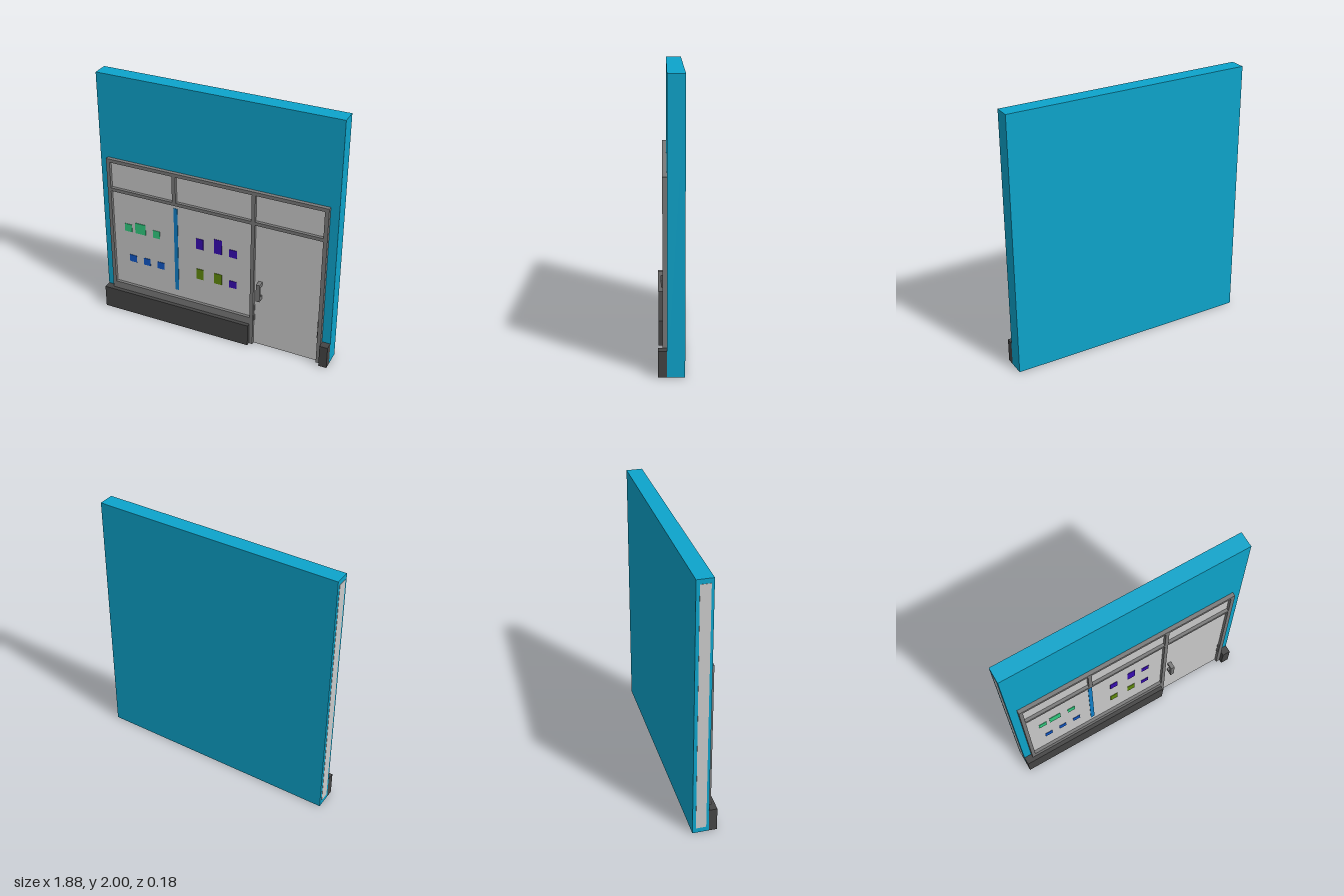
import * as THREE from 'three';

const mat = (name, color) => {
  const m = new THREE.MeshStandardMaterial({ color });
  m.name = name;
  return m;
};

export function createModel() {
  const group = new THREE.Group();
  const wallBlue = mat('wall blue', 0x0da4cb);
  const plinthGrey = mat('plinth dark grey', 0x444444);
  const frameGrey = mat('frame grey', 0x7a7a7a);
  const glassGrey = mat('glass light grey', 0xcacaca);
  const green = mat('display green', 0x32cb80);
  const blue = mat('display blue', 0x1058c8);
  const purple = mat('display purple', 0x380cb2);
  const olive = mat('display olive', 0x608a0c);
  const stripeBlue = mat('stripe blue', 0x1080c8);

  // Box given by its limits on each axis
  const box = (name, material, x0, x1, y0, y1, z0, z1, parent = group) => {
    const mesh = new THREE.Mesh(new THREE.BoxGeometry(x1 - x0, y1 - y0, z1 - z0), material);
    mesh.position.set((x0 + x1) / 2, (y0 + y1) / 2, (z0 + z1) / 2);
    mesh.name = name;
    parent.add(mesh);
    return mesh;
  };

  // Wall slab and the pale panel on its right end
  box('wall', wallBlue, -0.94, 0.94, 0, 2, -0.09, 0.03);
  box('endPanel', glassGrey, -0.942, -0.938, 0.04, 1.965, -0.065, 0.01);

  // Plinth blocks either side of the door
  box('plinth', plinthGrey, -0.94, 0.3, 0, 0.182, 0.03, 0.09);
  box('plinthEnd', plinthGrey, 0.877, 0.94, 0, 0.182, 0.03, 0.09);

  // Shopfront frame, open at the foot of the door
  const frameShape = new THREE.Shape([
    [-0.88, 0.182], [0.3, 0.182], [0.3, 0], [0.328, 0], [0.328, 1.063], [0.845, 1.063],
    [0.845, 0], [0.875, 0], [0.875, 1.333], [-0.88, 1.333],
  ].map(([x, y]) => new THREE.Vector2(x, y)));
  for (const [x0, x1, y0, y1] of [
    [-0.852, -0.335, 1.09, 1.305],
    [-0.306, 0.3, 1.09, 1.305],
    [0.328, 0.845, 1.09, 1.305],
    [-0.852, 0.3, 0.242, 1.063],
  ]) {
    frameShape.holes.push(new THREE.Path([
      new THREE.Vector2(x0, y0), new THREE.Vector2(x0, y1),
      new THREE.Vector2(x1, y1), new THREE.Vector2(x1, y0),
    ]));
  }
  const frame = new THREE.Mesh(
    new THREE.ExtrudeGeometry(frameShape, { depth: 0.03, bevelEnabled: false }), frameGrey);
  frame.position.z = 0.03;
  frame.name = 'shopfrontFrame';
  group.add(frame);

  // Glazing and door leaf
  box('windowGlass', glassGrey, -0.86, 0.31, 0.2, 1.32, 0.025, 0.036);
  box('doorLeaf', glassGrey, 0.32, 0.86, 0, 1.32, 0.025, 0.036);

  // Door handle: grip on two posts
  const handle = new THREE.Group();
  handle.name = 'doorHandle';
  group.add(handle);
  box('handleGrip', frameGrey, 0.36, 0.39, 0.43, 0.577, 0.068, 0.09, handle);
  for (const y of [0.43, 0.547]) {
    box('handlePost', frameGrey, 0.36, 0.39, y, y + 0.03, 0.036, 0.068, handle);
  }

  // Small hinges on both door edges
  for (const x of [0.328, 0.838]) {
    for (const y of [0.22, 0.31]) box('hinge', frameGrey, x, x + 0.008, y, y + 0.05, 0.036, 0.05);
  }

  // Thin coloured plates in the window: material, x limits, y limits
  const display = new THREE.Group();
  display.name = 'windowDisplay';
  group.add(display);
  for (const [m, x0, x1, y0, y1] of [
    [stripeBlue, -0.335, -0.304, 0.302, 1.028],
    [green, -0.76, -0.698, 0.725, 0.79],
    [green, -0.67, -0.58, 0.725, 0.815],
    [green, -0.517, -0.458, 0.725, 0.79],
    [blue, -0.728, -0.668, 0.455, 0.515],
    [blue, -0.606, -0.548, 0.455, 0.515],
    [blue, -0.485, -0.426, 0.455, 0.515],
    [purple, -0.152, -0.092, 0.725, 0.815],
    [purple, -0.002, 0.06, 0.725, 0.847],
    [purple, 0.12, 0.182, 0.725, 0.79],
    [purple, 0.12, 0.182, 0.455, 0.515],
    [olive, -0.152, -0.092, 0.455, 0.545],
    [olive, -0.002, 0.06, 0.455, 0.545],
  ]) box('displayPlate', m, x0, x1, y0, y1, 0.035, 0.04, display);

  return group;
}
